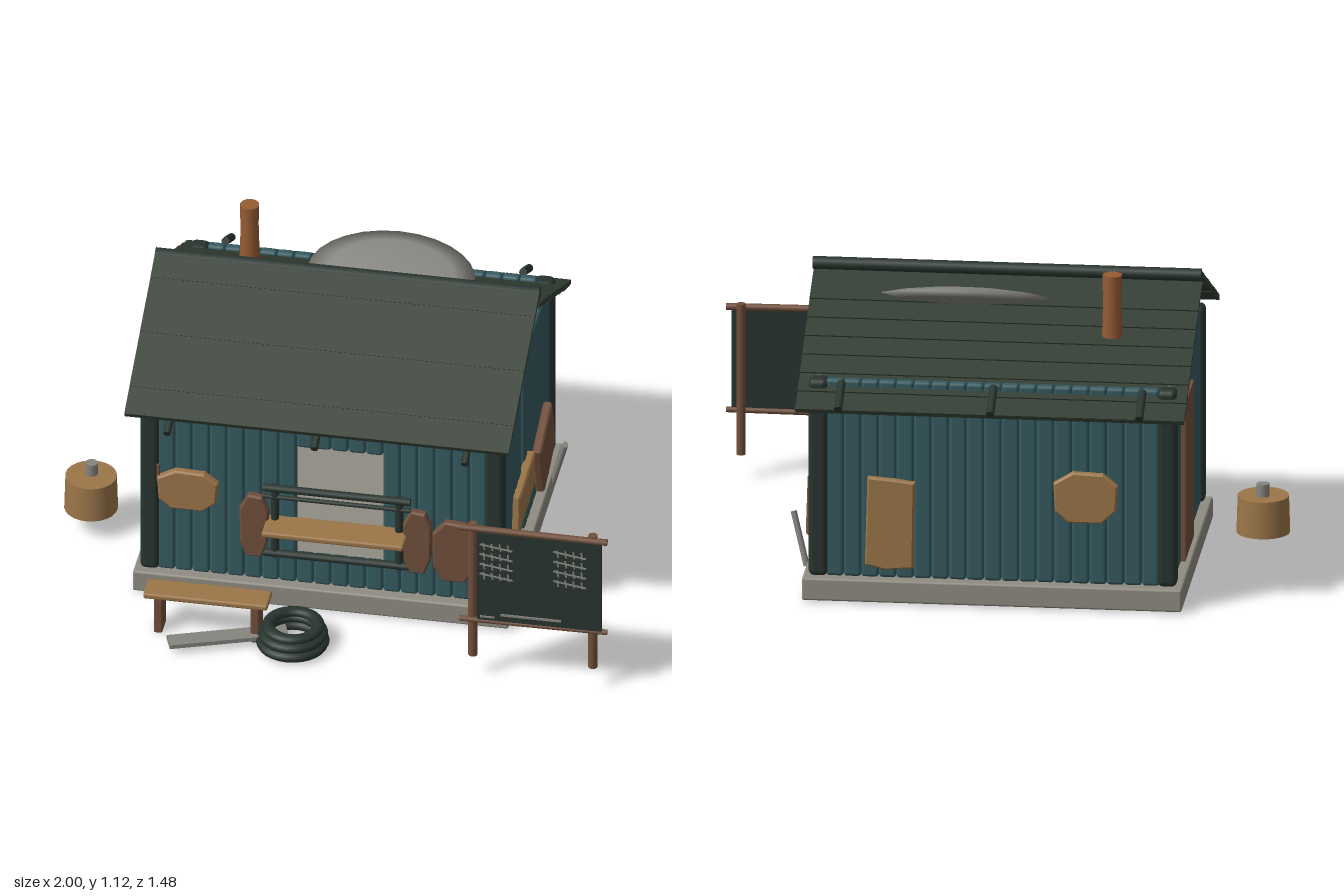
import * as THREE from 'three';
import { RoundedBoxGeometry } from 'three/addons/geometries/RoundedBoxGeometry.js';

const mat = (name, color) => Object.assign(new THREE.MeshStandardMaterial({ color }), { name });

export function createModel() {
  const root = new THREE.Group();
  root.name = 'shack';
  const teal = mat('tealBoards', 0x355a60), green = mat('roofGreen', 0x323d32), dark = mat('darkGreen', 0x28342e);
  const stone = mat('paleStone', 0x8f8c82), metal = mat('greyMetal', 0x85847e), tan = mat('tanWood', 0x9b7548);
  const brown = mat('brownWood', 0x714f3b), rust = mat('rustPipe', 0x965b32);

  const add = (name, geo, m, x = 0, y = 0, z = 0, parent = root) => {
    const o = new THREE.Mesh(geo, m);
    o.name = name;
    o.position.set(x, y, z);
    parent.add(o);
    return o;
  };
  const box = (name, m, w, h, d, x, y, z, parent) => add(name, new THREE.BoxGeometry(w, h, d), m, x, y, z, parent);
  const rbox = (name, m, w, h, d, r, x, y, z, parent) => add(name, new RoundedBoxGeometry(w, h, d, 2, r), m, x, y, z, parent);
  const group = (name) => {
    const g = new THREE.Group();
    g.name = name;
    root.add(g);
    return g;
  };
  // Round rod between two points
  const rod = (name, m, a, b, r, parent) => {
    const p = new THREE.Vector3(...a), q = new THREE.Vector3(...b), d = q.clone().sub(p);
    const o = add(name, new THREE.CylinderGeometry(r, r, d.length(), 10), m, 0, 0, 0, parent);
    o.position.copy(p).add(q).multiplyScalar(0.5);
    o.quaternion.setFromUnitVectors(new THREE.Vector3(0, 1, 0), d.normalize());
    return o;
  };
  // Flat patch cut from a polygon, facing +z before turning by ry
  const patch = (name, m, pts, w, h, x, y, z, ry = 0, rz = 0, t = 0.02) => {
    const shape = new THREE.Shape(pts.map(([u, v]) => new THREE.Vector2(u * w / 2, v * h / 2)));
    const geo = new THREE.ExtrudeGeometry(shape, {
      depth: t, bevelEnabled: true, bevelThickness: 0.006, bevelSize: 0.006, bevelOffset: -0.006, bevelSegments: 1,
    });
    const o = add(name, geo, m, x, y, z);
    o.rotation.set(0, ry, rz);
    return o;
  };
  const octagon = [[-0.55, -1], [0.5, -1], [0.95, -0.5], [1, 0.5], [0.55, 0.95], [-0.4, 1], [-1, 0.55], [-0.95, -0.55]];
  const plank = [[-1, -0.9], [-0.2, -1], [0.95, -0.95], [1, 0.9], [0.3, 0.95], [-0.9, 1]];

  // Slab and corner posts
  rbox('foundation', stone, 1.3, 0.08, 1.03, 0.008, -0.05, 0.045, -0.125);
  for (const x of [-0.647, 0.547]) for (const z of [0.337, -0.585])
    rbox('cornerPost', dark, 0.067, 0.705, 0.067, 0.02, x, 0.4375, z);

  // Upright wall boards; front has a serving hatch, right side has one board missing
  const front = group('frontWall'), back = group('backWall'), left = group('leftWall'), right = group('rightWall');
  const slat = (g, x, z, w, d, y0 = 0.085, y1 = 0.79) =>
    rbox('wallBoard', teal, w, y1 - y0, d, 0.012, x, (y0 + y1) / 2, z, g);
  const n = 19, sw = 1.14 / n;
  for (let i = 0; i < n; i++) {
    const x = -0.62 + (i + 0.5) * sw;
    slat(back, x, -0.59, sw, 0.035);
    if (Math.abs(x + 0.0) < 0.17) {
      slat(front, x, 0.34, sw, 0.035, 0.085, 0.2);
      slat(front, x, 0.34, sw, 0.035, 0.64, 0.76);
    } else slat(front, x, 0.34, sw, 0.035);
  }
  const m = 15, dw = 0.87 / m;
  for (let i = 0; i < m; i++) {
    const z = 0.31 - (i + 0.5) * dw;
    slat(left, -0.65, z, 0.035, dw);
    if (i !== 6) slat(right, 0.55, z, 0.035, dw);
  }

  // Roof: flush front boards, stepped back boards, ridge pole
  const roof = group('roof');
  const fa = Math.atan2(0.28, 0.59);
  for (let i = 0; i < 6; i++) {
    const t = (i + 0.5) / 6;
    const o = box('frontRoofBoard', green, 1.33, 0.018 + 0.003 * (i % 2), 0.112, -0.05, 0.775 + 0.28 * t, 0.46 - 0.59 * t, roof);
    o.rotation.x = fa;
  }
  for (let i = 0; i < 7; i++) {
    const z = -0.165 - i * 0.0785;
    const o = box('backRoofBoard', green, 1.33, 0.016, 0.15, -0.05, 0.98 - i * 0.0405, z, roof);
    o.rotation.x = -0.42;
  }
  rod('ridgePole', dark, [-0.715, 1.047, -0.125], [0.615, 1.047, -0.125], 0.022, roof);
  for (const x of [-0.565, -0.055, 0.465]) {
    rod('frontRafterEnd', dark, [x, 0.727, 0.48], [x, 0.78, 0.365], 0.013, roof);
    rod('backRafterEnd', dark, [x, 0.725, -0.735], [x, 0.785, -0.62], 0.014, roof);
  }

  // Chimney pipe
  add('chimney', new THREE.CylinderGeometry(0.029, 0.035, 0.22, 12), rust, -0.435, 1.01, -0.37);
  add('chimneyRim', new THREE.CylinderGeometry(0.033, 0.033, 0.06, 12), rust, -0.435, 1.09, -0.37);

  // Salvaged dish sunk into the back slope
  const lens = [[0, -0.03], [0.4, -0.027], [0.75, -0.015], [1, 0], [0.75, 0.014], [0.4, 0.024], [0, 0.027]];
  const dish = add('roofDish', new THREE.LatheGeometry(lens.map(([r, y]) => new THREE.Vector2(r, y)), 28), metal, 0.08, 0.983, -0.235);
  dish.scale.set(0.29, 1, 0.18);
  dish.rotation.x = 0.39;

  // Hatch frame with counter
  const hatch = group('servingHatch');
  for (const y of [0.48, 0.445, 0.215]) rod('hatchRail', dark, [-0.25, y, 0.38], [0.26, y, 0.38], y === 0.445 ? 0.008 : 0.014, hatch);
  for (const x of [-0.21, 0.22]) rod('hatchUpright', dark, [x, 0.2, 0.375], [x, 0.49, 0.375], 0.014, hatch);
  rbox('counter', tan, 0.49, 0.022, 0.12, 0.008, 0.005, 0.343, 0.41, hatch);

  // Shields and patches on the walls
  patch('shield', brown, octagon, 0.1, 0.25, -0.28, 0.325, 0.37);
  patch('shield', brown, octagon, 0.1, 0.25, 0.285, 0.325, 0.37);
  patch('shield', brown, octagon, 0.15, 0.24, 0.412, 0.3, 0.37);
  patch('frontPatch', tan, octagon, 0.21, 0.155, -0.512, 0.433, 0.36);
  rod('patchPeg', brown, [-0.615, 0.45, 0.365], [-0.615, 0.52, 0.365], 0.006);
  patch('sidePatch', tan, plank, 0.3, 0.135, 0.567, 0.303, -0.013, Math.PI / 2, 0).rotateZ(0.04);
  patch('sideFlap', brown, plank, 0.235, 0.22, 0.575, 0.255, -0.36, Math.PI / 2, 0).rotateZ(0.36);
  patch('backPatch', tan, plank, 0.17, 0.33, 0.3, 0.285, -0.605, Math.PI, 0);
  patch('backPatch', tan, octagon, 0.22, 0.18, -0.37, 0.4, -0.605, Math.PI, 0);
  const prop = rod('flapProp', metal, [0.603, 0.065, -0.445], [0.652, 0.245, -0.4], 0.013);
  prop.scale.set(0.8, 1, 1.1);

  // Side door
  box('door', brown, 0.025, 0.56, 0.28, -0.668, 0.365, -0.185);

  // Chopping stump with a can on it
  add('stump', new THREE.CylinderGeometry(0.088, 0.092, 0.13, 24), tan, -0.91, 0.15, 0.03);
  add('can', new THREE.CylinderGeometry(0.022, 0.022, 0.045, 12), metal, -0.91, 0.237, 0.02);

  // Bench and loose plank
  const bench = group('bench');
  rbox('benchSeat', tan, 0.43, 0.022, 0.1, 0.008, -0.405, 0.152, 0.58, bench);
  for (const x of [-0.57, -0.235]) rbox('benchLeg', brown, 0.03, 0.14, 0.08, 0.006, x, 0.07, 0.58, bench);
  const loose = box('loosePlank', metal, 0.41, 0.015, 0.065, -0.325, 0.03, 0.64);
  loose.rotation.y = 0.35;

  // Stack of tyres
  const tyres = group('tyreStack');
  [[0.1, 0.024], [0.096, 0.052], [0.086, 0.076]].forEach(([r, y], i) => {
    const o = add('tyre', new THREE.TorusGeometry(r, 0.026 - i * 0.002, 10, 28), dark, -0.105, y, 0.612 - i * 0.006, tyres);
    o.rotation.x = Math.PI / 2;
    o.scale.z = 0.75;
  });

  // Notice board with chalk tallies
  const sign = group('noticeBoard');
  for (const x of [0.53, 0.945]) rod('signPost', brown, [x, 0.085, 0.673], [x, 0.625, 0.673], 0.016, sign);
  rod('signTopRail', brown, [0.485, 0.612, 0.685], [0.997, 0.609, 0.685], 0.012, sign);
  rod('signBottomRail', brown, [0.485, 0.237, 0.685], [0.997, 0.24, 0.685], 0.01, sign);
  box('signPanel', dark, 0.43, 0.355, 0.014, 0.763, 0.425, 0.69, sign);
  for (const x0 of [0.555, 0.81]) for (let r = 0; r < 4; r++) {
    const y = 0.55 - r * 0.04;
    for (let k = 0; k < 4; k++)
      box('chalkTally', metal, 0.005, 0.027, 0.004, x0 + 0.018 + k * 0.028, y, 0.699, sign).rotation.z = 0.15;
    box('chalkStrike', metal, 0.115, 0.005, 0.004, x0 + 0.06, y, 0.7, sign).rotation.z = -0.15;
  }
  box('chalkLine', metal, 0.21, 0.008, 0.004, 0.735, 0.275, 0.699, sign);
  box('chalkLine', metal, 0.05, 0.006, 0.004, 0.585, 0.262, 0.699, sign);

  return root;
}
